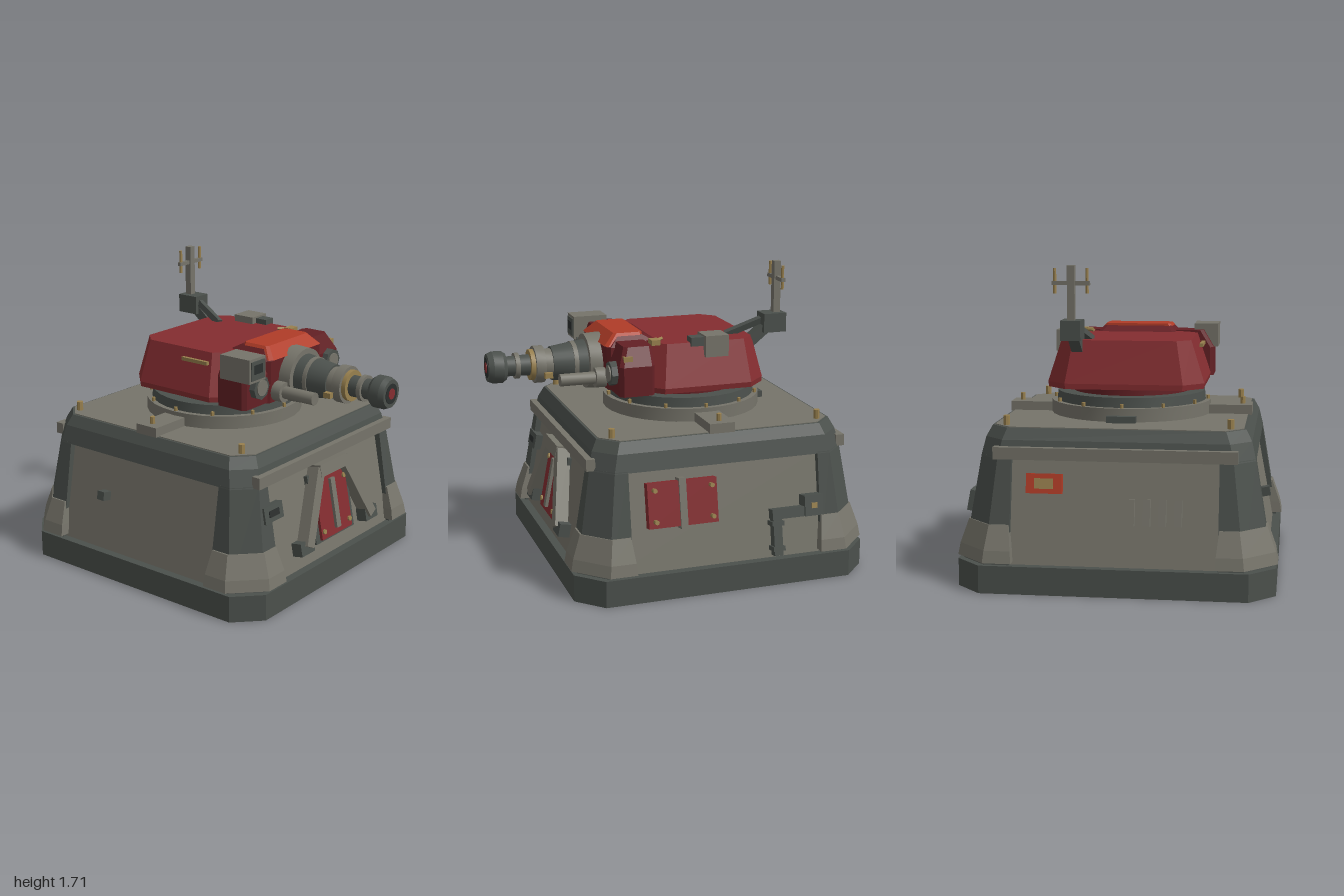
import * as THREE from 'three';
import { toCreasedNormals } from 'three/addons/utils/BufferGeometryUtils.js';

const mat = (name, color) => Object.assign(new THREE.MeshStandardMaterial({ color }), { name });
const M = {
  stone: mat('light grey', 0x76746a), steel: mat('dark grey', 0x4b504c), black: mat('charcoal', 0x2b2f2e),
  red: mat('red', 0x842d30), maroon: mat('dark red', 0x632024), orange: mat('orange red', 0xb03c27),
  brass: mat('brass', 0x98804e),
};
const CZ = -0.15; // centre of the bunker and turret ring

function add(parent, name, geo, m, x = 0, y = 0, z = 0) {
  const mesh = new THREE.Mesh(geo, m);
  mesh.name = name;
  mesh.position.set(x, y, z);
  parent.add(mesh);
  return mesh;
}
function group(parent, name, x = 0, y = 0, z = 0) {
  const g = new THREE.Group();
  g.name = name;
  g.position.set(x, y, z);
  parent.add(g);
  return g;
}
const box = (p, name, m, w, h, d, x, y, z) => add(p, name, new THREE.BoxGeometry(w, h, d), m, x, y, z);
// Upright cylinder between two heights
const post = (p, name, m, r0, r1, y0, y1, x, z, n = 24) =>
  add(p, name, toCreasedNormals(new THREE.CylinderGeometry(r1, r0, y1 - y0, n), 0.6), m, x, (y0 + y1) / 2, z);
// Cylinder along z between two depths
const tube = (p, name, m, r0, r1, z0, z1, x, y, n = 24) =>
  add(p, name, toCreasedNormals(new THREE.CylinderGeometry(r1, r0, z1 - z0, n).rotateX(Math.PI / 2), 0.6), m, x, y, (z0 + z1) / 2);
// Square bar between two points
function bar(p, name, m, a, b, w, d = w) {
  const A = new THREE.Vector3(...a), B = new THREE.Vector3(...b);
  const mesh = box(p, name, m, w, A.distanceTo(B), d, ...A.clone().add(B).multiplyScalar(0.5));
  mesh.quaternion.setFromUnitVectors(new THREE.Vector3(0, 1, 0), B.sub(A).normalize());
  return mesh;
}
// Faceted solid through convex sections, each {y, pts: [x, z]...} listed from +z round to +x
function loft(sections) {
  const v = [], n = sections[0].pts.length;
  const P = (s, i) => [sections[s].pts[i % n][0], sections[s].y, sections[s].pts[i % n][1]];
  const L = sections.length - 1;
  for (let s = 0; s < L; s++) for (let i = 0; i < n; i++) {
    const a = P(s, i), b = P(s, i + 1), c = P(s + 1, i + 1), d = P(s + 1, i);
    v.push(...a, ...b, ...c, ...a, ...c, ...d);
  }
  for (let i = 1; i < n - 1; i++) {
    v.push(...P(L, 0), ...P(L, i), ...P(L, i + 1));
    v.push(...P(0, 0), ...P(0, i + 1), ...P(0, i));
  }
  const g = new THREE.BufferGeometry();
  g.setAttribute('position', new THREE.Float32BufferAttribute(v, 3));
  g.computeVertexNormals();
  return g;
}
// Rectangle with cut corners
function oct(y, x0, x1, z0, z1, c) {
  return { y, pts: [[x1 - c, z1], [x1, z1 - c], [x1, z0 + c], [x1 - c, z0], [x0 + c, z0], [x0, z0 + c], [x0, z1 - c], [x0 + c, z1]] };
}
const sq = (y, h, c) => oct(y, -h, h, -h, h, c);
// Section of a corner piece that wraps two walls
const corner = (y, h, w, c) => ({ y, pts: [[w, h], [h - c, h], [h, h - c], [h, w], [w, w]] });

function buildBunker(root) {
  const g = group(root, 'bunker', 0, 0, CZ);
  add(g, 'plinth', loft([sq(0, 0.85, 0.14), sq(0.15, 0.85, 0.14)]), M.steel);
  add(g, 'walls', loft([sq(0.14, 0.805, 0.1), sq(0.72, 0.695, 0.1)]), M.stone);
  add(g, 'roofBand', loft([sq(0.7, 0.735, 0.11), sq(0.8, 0.712, 0.11), sq(0.86, 0.68, 0.1)]), M.steel);
  add(g, 'roofPlate', loft([sq(0.85, 0.668, 0.095), sq(0.864, 0.668, 0.095)]), M.stone);
  for (let i = 0; i < 4; i++) {
    const q = group(g, 'cornerSupport');
    q.rotation.y = i * Math.PI / 2;
    add(q, 'cornerPost', loft([corner(0.15, 0.825, 0.55, 0.14), corner(0.71, 0.733, 0.55, 0.11)]), M.steel);
    add(q, 'cornerFoot', loft([corner(0.165, 0.857, 0.535, 0.17), corner(0.23, 0.845, 0.54, 0.165), corner(0.36, 0.8, 0.555, 0.14)]), M.stone);
    post(q, 'roofBolt', M.brass, 0.018, 0.018, 0.86, 0.915, 0.6, 0.6, 8);
  }
  for (const s of [1, -1]) {
    box(g, 'wallBeam', M.stone, 1.29, 0.065, 0.05, 0, 0.735, s * 0.73);
    box(g, 'roofPad', M.stone, 0.25, 0.055, 0.145, s * 0.565, 0.887, 0);
    post(g, 'padBolt', M.brass, 0.014, 0.014, 0.9, 0.955, s * 0.635, 0, 8);
  }
  box(g, 'rearRoofPad', M.steel, 0.16, 0.04, 0.08, 0, 0.88, -0.45);
}

// Frame lying on a sloping wall: local x along the wall, local z outwards, origin at height 0.45
function wallFrame(root, name, turn) {
  const g = group(root, name, 0, 0, CZ);
  g.rotation.y = turn;
  const f = group(g, name + 'Details', 0, 0.45, 0.745);
  f.rotation.x = -0.19;
  return f;
}

function buildWallDetails(root) {
  // Front: door, braces and port
  const f = wallFrame(root, 'frontWall', 0);
  box(f, 'doorFrame', M.steel, 0.375, 0.4, 0.03, 0, -0.015, 0.01);
  const door = new THREE.Shape([[-0.148, -0.2], [0.148, -0.2], [0.148, 0.08], [0.1, 0.165], [-0.1, 0.165], [-0.148, 0.08]].map(p => new THREE.Vector2(...p)));
  add(f, 'door', new THREE.ExtrudeGeometry(door, { depth: 0.02, bevelEnabled: false }), M.red, 0, 0, 0.022);
  box(f, 'doorStrip', M.stone, 0.04, 0.29, 0.02, 0, -0.02, 0.05);
  box(f, 'braceCap', M.stone, 0.26, 0.07, 0.08, 0, 0.2, 0.045);
  for (const s of [1, -1]) {
    bar(f, 'doorBrace', M.stone, [s * 0.315, -0.18, 0.045], [s * 0.115, 0.215, 0.045], 0.065, 0.075);
    box(f, 'braceFoot', M.steel, 0.12, 0.075, 0.08, s * 0.32, -0.18, 0.025);
    for (const y of [-0.155, 0.105]) tube(f, 'doorBolt', M.brass, 0.015, 0.015, 0.03, 0.052, s * 0.125, y, 8);
  }
  box(f, 'frontPort', M.steel, 0.16, 0.09, 0.05, -0.54, 0.09, 0.02);
  box(f, 'portSlot', M.black, 0.085, 0.035, 0.008, -0.54, 0.09, 0.046);

  // Left: hatch and pipe
  const l = wallFrame(root, 'leftWall', Math.PI / 2);
  box(l, 'hatch', M.red, 0.395, 0.245, 0.055, -0.258, 0.06, 0.025);
  box(l, 'hatchStrip', M.stone, 0.04, 0.275, 0.065, -0.258, 0.06, 0.03);
  for (const x of [-0.42, -0.096]) for (const y of [-0.025, 0.145])
    tube(l, 'hatchBolt', M.brass, 0.013, 0.013, 0.05, 0.085, x, y, 8);
  box(l, 'pipeBox', M.steel, 0.11, 0.115, 0.09, 0.495, -0.03, 0.035);
  box(l, 'pipeBoxPlate', M.brass, 0.035, 0.03, 0.008, 0.495, -0.03, 0.082);
  bar(l, 'pipeRun', M.steel, [0.25, -0.06, 0.04], [0.46, -0.06, 0.04], 0.055);
  bar(l, 'pipeDrop', M.steel, [0.278, -0.29, 0.04], [0.278, -0.04, 0.04], 0.05);
  for (const y of [-0.11, -0.25]) box(l, 'pipeCollar', M.steel, 0.07, 0.025, 0.07, 0.278, y, 0.04);

  // Rear: warning box and vents
  const b = wallFrame(root, 'rearWall', Math.PI);
  box(b, 'warningBox', M.orange, 0.19, 0.105, 0.05, -0.37, 0.125, 0.02);
  box(b, 'warningPlate', M.brass, 0.1, 0.055, 0.008, -0.37, 0.125, 0.047);
  for (let i = 0; i < 4; i++) box(b, 'ventSlat', M.stone, 0.04, 0.14, 0.045, 0.09 + i * 0.083, -0.015, 0.015);

  // Right: small socket
  const r = wallFrame(root, 'rightWall', -Math.PI / 2);
  box(r, 'socket', M.steel, 0.05, 0.05, 0.07, -0.26, 0.01, 0.025);
}

function buildTurret(root) {
  const g = group(root, 'turret');
  post(g, 'ringBase', M.stone, 0.455, 0.455, 0.86, 0.938, 0, CZ, 32);
  post(g, 'ringTop', M.steel, 0.425, 0.42, 0.935, 0.992, 0, CZ, 32);
  for (let i = 0; i < 12; i++) {
    const a = i * Math.PI / 6;
    post(g, 'ringBolt', M.brass, 0.011, 0.011, 0.93, 0.96, Math.sin(a) * 0.438, CZ + Math.cos(a) * 0.438, 6);
  }
  post(g, 'neck', M.maroon, 0.335, 0.335, 0.98, 1.04, 0, CZ, 32);
  add(g, 'turretBody', loft([oct(1.03, -0.43, 0.43, -0.53, 0.2, 0.11), oct(1.06, -0.435, 0.435, -0.53, 0.2, 0.11), oct(1.295, -0.36, 0.36, -0.475, 0.13, 0.075)]), M.red);
  add(g, 'gunHousing', loft([oct(1.03, -0.25, 0.25, 0.03, 0.36, 0.02), oct(1.27, -0.25, 0.25, 0.03, 0.365, 0.02), oct(1.325, -0.2, 0.2, 0.13, 0.31, 0.02)]), M.maroon);
  add(g, 'housingHood', loft([oct(1.275, -0.24, 0.24, 0.14, 0.375, 0.02), oct(1.338, -0.19, 0.19, 0.145, 0.31, 0.015)]), M.orange);
  for (const s of [1, -1]) {
    const [a, b] = s > 0 ? [0.2, 0.447] : [-0.447, -0.2];
    add(g, 'cheek', loft([oct(1.035, a, b, 0.15, 0.35, 0.02), oct(1.2, a, b, 0.15, 0.35, 0.02), oct(1.3, a + (s < 0 ? 0.06 : 0), b - (s > 0 ? 0.06 : 0), 0.15, 0.31, 0.02)]), M.maroon);
    tube(g, 'lampRim', M.steel, 0.068, 0.068, 0.34, 0.385, s * 0.34, 1.15, 8);
    tube(g, 'lampLens', M.stone, 0.045, 0.045, 0.38, 0.392, s * 0.34, 1.15, 16);
    tube(g, 'recoilMount', M.stone, 0.057, 0.057, 0.36, 0.42, s * 0.172, 1.09, 16);
    tube(g, 'recoilCylinder', M.stone, 0.035, 0.035, 0.4, 0.62, s * 0.172, 1.09, 16);
  }
}

function buildGun(root) {
  const g = group(root, 'gun');
  const parts = [ // name, material, rear radius, front radius, rear z, front z
    ['mantletRing', M.stone, 0.16, 0.155, 0.34, 0.435], ['breechSleeve', M.steel, 0.125, 0.095, 0.43, 0.63],
    ['sleeveBand', M.stone, 0.117, 0.117, 0.49, 0.515], ['collar', M.stone, 0.085, 0.085, 0.62, 0.68],
    ['collarFlange', M.stone, 0.105, 0.105, 0.675, 0.73], ['brassCollar', M.brass, 0.087, 0.087, 0.73, 0.755],
    ['barrel', M.steel, 0.06, 0.055, 0.75, 0.91], ['barrelBand', M.stone, 0.073, 0.073, 0.815, 0.84],
    ['muzzleRear', M.steel, 0.075, 0.09, 0.89, 0.91], ['muzzle', M.steel, 0.09, 0.09, 0.91, 0.965],
    ['muzzleTip', M.steel, 0.09, 0.078, 0.965, 0.994], ['bore', M.black, 0.056, 0.056, 0.99, 0.997],
    ['boreCore', M.red, 0.03, 0.03, 0.99, 1.0],
  ];
  for (const [n, m, r0, r1, z0, z1] of parts) tube(g, n, m, r0, r1, z0, z1, 0, 1.15);
  for (const s of [1, -1]) box(g, 'collarBolt', M.brass, 0.03, 0.03, 0.045, s * 0.12, 1.11, 0.67);
}

function buildEquipment(root) {
  const g = group(root, 'equipment');
  // Sensor box on the right cheek
  box(g, 'sensorBox', M.stone, 0.14, 0.135, 0.2, -0.4, 1.268, 0.3);
  box(g, 'sensorWindow', M.steel, 0.115, 0.105, 0.008, -0.4, 1.268, 0.402);
  box(g, 'sensorLens', M.black, 0.07, 0.05, 0.008, -0.4, 1.275, 0.406);
  // Periscope on the roof
  box(g, 'periscope', M.stone, 0.135, 0.12, 0.135, 0.343, 1.275, -0.223);
  box(g, 'periscopeSight', M.steel, 0.07, 0.05, 0.08, 0.345, 1.3, -0.12);
  // Brass fittings
  bar(g, 'grabRail', M.brass, [-0.395, 1.24, -0.13], [-0.395, 1.24, 0.05], 0.02);
  box(g, 'brassFitting', M.brass, 0.065, 0.03, 0.05, 0.3, 1.3, 0.11);
  bar(g, 'brassLever', M.brass, [0.25, 1.305, 0.05], [0.3, 1.305, 0.1], 0.015);
  box(g, 'cheekTag', M.brass, 0.03, 0.06, 0.05, 0.415, 1.225, 0.3);
  // Antenna
  bar(g, 'antennaArmUpper', M.steel, [0.2, 1.29, -0.35], [0.26, 1.385, -0.57], 0.035);
  bar(g, 'antennaArmLower', M.steel, [0.26, 1.23, -0.44], [0.265, 1.345, -0.58], 0.06);
  box(g, 'antennaBlock', M.steel, 0.11, 0.108, 0.135, 0.266, 1.363, -0.607);
  box(g, 'antennaMast', M.stone, 0.04, 0.3, 0.04, 0.266, 1.56, -0.63);
  box(g, 'antennaCrossbar', M.stone, 0.205, 0.022, 0.022, 0.267, 1.615, -0.63);
  for (const x of [0.18, 0.355]) post(g, 'antennaRod', M.brass, 0.009, 0.009, 1.56, 1.695, x, -0.63, 8);
}

export function createModel() {
  const root = new THREE.Group();
  root.name = 'gunTurretBunker';
  buildBunker(root);
  buildWallDetails(root);
  buildTurret(root);
  buildGun(root);
  buildEquipment(root);
  return root;
}
